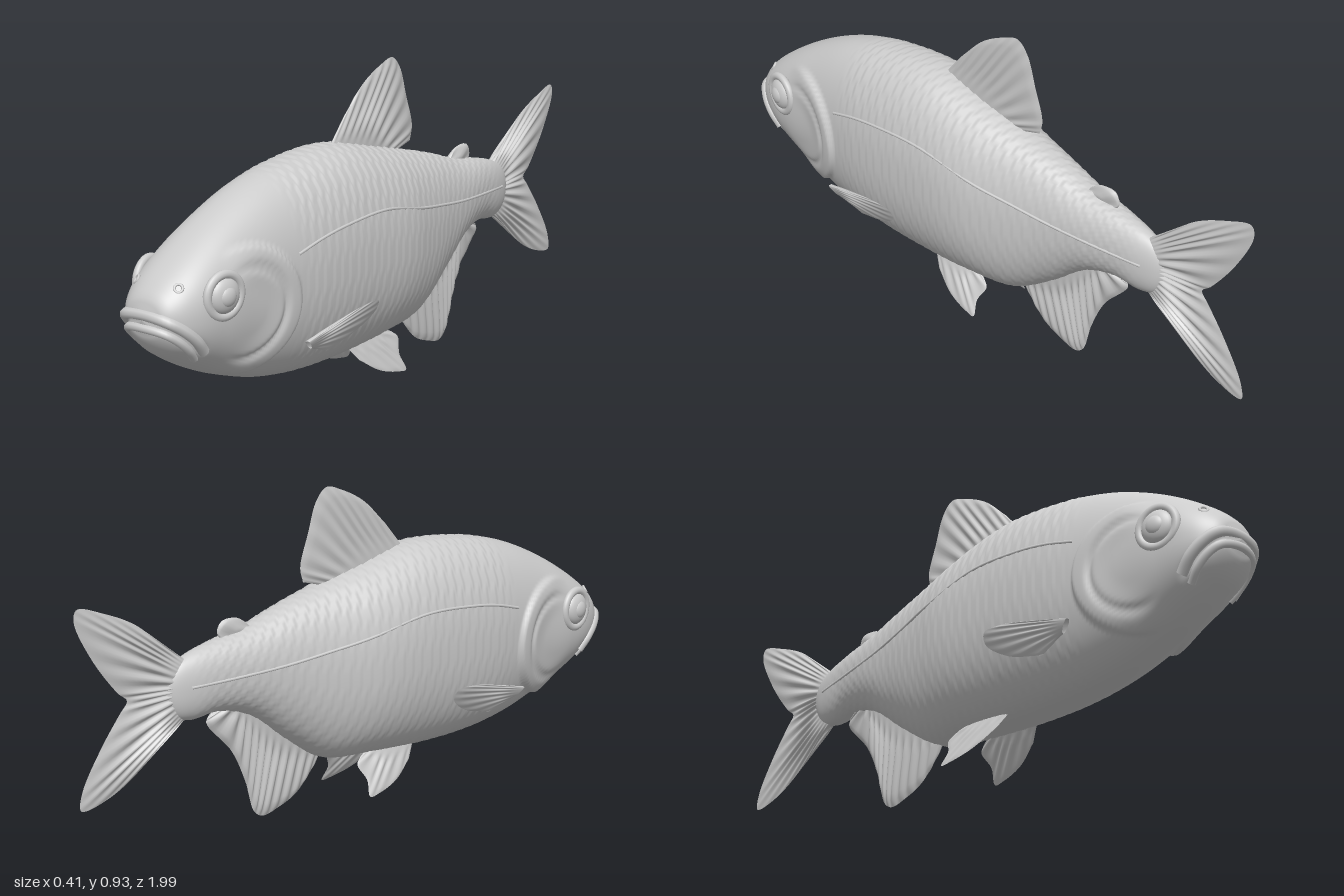
import * as THREE from 'three';

const material = new THREE.MeshStandardMaterial({ color: 0xcccccc, roughness: 0.8 });
const thinMaterial = material.clone();
thinMaterial.side = THREE.DoubleSide;

// Body stations from tail to snout: z, back height, belly height, half width
const stations = [
  [-0.71, 0.47, 0.41, 0.012], [-0.68, 0.505, 0.365, 0.03], [-0.63, 0.53, 0.345, 0.046],
  [-0.53, 0.555, 0.352, 0.064], [-0.42, 0.575, 0.32, 0.084], [-0.29, 0.615, 0.225, 0.108],
  [-0.15, 0.652, 0.14, 0.14], [0, 0.69, 0.122, 0.17], [0.2, 0.733, 0.11, 0.178],
  [0.41, 0.724, 0.114, 0.174], [0.57, 0.692, 0.137, 0.16], [0.68, 0.652, 0.17, 0.15],
  [0.8, 0.592, 0.217, 0.142], [0.9, 0.528, 0.272, 0.122], [0.95, 0.488, 0.31, 0.095],
  [0.975, 0.458, 0.345, 0.068], [0.985, 0.435, 0.368, 0.045],
];
const profile = new THREE.CubicInterpolant(
  stations.map((s) => s[0]), stations.flatMap((s) => s.slice(1)), 3, new Float32Array(3));
const section = (z) => {
  const [top, bottom, w] = profile.evaluate(z);
  return { mid: (top + bottom) / 2, h: (top - bottom) / 2, w };
};
const POWER = 2.2;

// Point on the flank at a given z and y; side is +1 or -1
function onFlank(z, y, side, lift = 0) {
  const { mid, h, w } = section(z);
  const t = Math.min(1, Math.abs((y - mid) / h));
  return new THREE.Vector3(side * (w * (1 - t ** POWER) ** (1 / POWER) + lift), y, z);
}

// Surface from a grid of points; closed joins the last column to the first
function gridGeometry(rows, cols, point, closed = false) {
  const positions = [], index = [];
  const perRow = closed ? cols : cols + 1;
  for (let i = 0; i <= rows; i++)
    for (let j = 0; j < perRow; j++) positions.push(...point(i / rows, j / cols));
  for (let i = 0; i < rows; i++)
    for (let j = 0; j < cols; j++) {
      const k = (j + 1) % perRow;
      const a = i * perRow + j, b = i * perRow + k, c = a + perRow, d = b + perRow;
      index.push(a, b, c, b, d, c);
    }
  const geometry = new THREE.BufferGeometry();
  geometry.setAttribute('position', new THREE.Float32BufferAttribute(positions, 3));
  geometry.setIndex(index);
  geometry.computeVertexNormals();
  return geometry;
}

const smooth = THREE.MathUtils.smoothstep;
const bump = (x, width) => Math.exp(-((x / width) ** 2));

// Raised gill plates, mouth crease and scale rows
function relief(z, y, a) {
  let d = 0;
  const r = Math.hypot((z - 0.72) / 0.19, (y - 0.38) / 0.185);
  const flank = smooth(Math.abs(Math.cos(a)), 0.2, 0.6);
  const behind = 1 - smooth(z, 0.68, 0.8);
  d += 0.014 * flank * behind * (1 - smooth(r, 0.94, 1.02)) * smooth(r, 0.3, 0.9);
  d -= 0.008 * flank * behind * bump(r - 0.68, 0.05);
  d -= 0.01 * smooth(z, 0.85, 0.89) * bump(y - (0.395 - (0.985 - z) * 0.75), 0.014);
  if (r > 1.02 && z < 0.55) {
    const row = Math.round(a * 14 / Math.PI);
    const phase = z / 0.036 + (row % 2) * 0.5;
    const fade = smooth(z, -0.66, -0.5) * (1 - smooth(z, 0.45, 0.55));
    const strength = 0.0018 + 0.0022 * smooth(y, 0.5, 0.62);
    d += strength * fade * (phase - Math.floor(phase) - 0.5);
  }
  return d;
}

function bodyGeometry() {
  const signedPower = (v) => Math.sign(v) * Math.abs(v) ** (2 / POWER);
  return gridGeometry(300, 120, (u, v) => {
    const z = THREE.MathUtils.lerp(-0.71, 0.985, u);
    const a = v * Math.PI * 2;
    const { mid, h, w } = section(z);
    if (u === 0 || u === 1) return [0, mid, z + (u ? 0.004 : -0.004)];
    const x = w * signedPower(Math.cos(a)), y = mid + h * signedPower(Math.sin(a));
    const d = relief(z, y, a);
    return [x + d * Math.cos(a), y + d * Math.sin(a), z];
  }, true);
}

// Ribbed fin spanned from a base line to an outer edge, both as [z, y] points
function fin(name, { base, edge, thickness, rays, x = () => 0, tipThickness = 0.3 }) {
  const curve = (pts) => new THREE.CatmullRomCurve3(pts.map(([z, y]) => new THREE.Vector3(0, y, z)));
  const root = curve(base), rim = curve(edge);
  const group = new THREE.Group();
  group.name = name;
  for (const side of [1, -1]) {
    const geometry = gridGeometry(rays * 6, 14, (u, v) => {
      const p = root.getPoint(u).lerp(rim.getPoint(u), v);
      const rib = 0.8 + 0.3 * Math.cos(u * rays * Math.PI * 2) * smooth(v, 0.1, 0.4);
      const closing = Math.max(0, Math.sin(Math.PI * u)) ** 0.4 * Math.sqrt(1 - v ** 8);
      const t = thickness * (1 - (1 - tipThickness) * v) * rib * closing;
      return [x(p.z, p.y) + side * t, p.y, p.z];
    });
    const mesh = new THREE.Mesh(geometry, thinMaterial);
    mesh.name = name + 'Face';
    group.add(mesh);
  }
  return group;
}

function tube(name, points, radius, segments = 48) {
  const path = new THREE.CatmullRomCurve3(points);
  const mesh = new THREE.Mesh(new THREE.TubeGeometry(path, segments, radius, 8), material);
  mesh.name = name;
  return mesh;
}

// Eyeball, pupil disc and socket ring, facing outwards
function eye(side) {
  const group = new THREE.Group();
  group.name = side > 0 ? 'leftEye' : 'rightEye';
  const add = (name, geometry, z, flat) => {
    const mesh = new THREE.Mesh(geometry, material);
    mesh.name = name;
    mesh.position.z = z;
    mesh.scale.z = flat;
    group.add(mesh);
  };
  add('eyeball', new THREE.SphereGeometry(0.05, 32, 20), 0, 0.5);
  add('pupil', new THREE.SphereGeometry(0.03, 24, 16), 0.012, 0.6);
  add('socketRing', new THREE.TorusGeometry(0.058, 0.013, 12, 40), 0, 0.9);
  group.position.copy(onFlank(0.815, 0.452, side, -0.003));
  group.rotation.y = side * (Math.PI / 2 - 0.15);
  return group;
}

export function createModel() {
  const fish = new THREE.Group();
  fish.name = 'fish';
  const body = new THREE.Mesh(bodyGeometry(), material);
  body.name = 'body';
  fish.add(body);

  // Fins on the centre line
  fish.add(fin('dorsalFin', {
    base: [[0.2, 0.71], [0.06, 0.68], [-0.09, 0.64]],
    edge: [[0.12, 0.8], [0.035, 0.877], [-0.05, 0.92], [-0.11, 0.935], [-0.148, 0.9],
      [-0.18, 0.81], [-0.21, 0.715], [-0.2, 0.67]],
    thickness: 0.017, rays: 10, tipThickness: 0.5,
  }));
  fish.add(fin('adiposeFin', {
    base: [[-0.39, 0.565], [-0.49, 0.545]],
    edge: [[-0.41, 0.585], [-0.445, 0.606], [-0.5, 0.605], [-0.517, 0.575], [-0.5, 0.55]],
    thickness: 0.016, rays: 2, tipThickness: 0.6,
  }));
  fish.add(fin('tailFin', {
    base: [[-0.62, 0.515], [-0.64, 0.44], [-0.62, 0.36]],
    edge: [[-0.68, 0.545], [-0.79, 0.64], [-0.9, 0.692], [-0.985, 0.715], [-0.995, 0.685],
      [-0.94, 0.57], [-0.86, 0.465], [-0.83, 0.437], [-0.855, 0.405], [-0.92, 0.32],
      [-0.985, 0.21], [-0.99, 0.16], [-0.9, 0.175], [-0.79, 0.235], [-0.68, 0.335]],
    thickness: 0.032, rays: 18, tipThickness: 0.12,
  }));
  fish.add(fin('analFin', {
    base: [[-0.13, 0.165], [-0.29, 0.25], [-0.42, 0.34], [-0.5, 0.375]],
    edge: [[-0.16, 0.115], [-0.23, 0.045], [-0.3, 0.015], [-0.36, 0.003], [-0.392, 0.025],
      [-0.42, 0.115], [-0.47, 0.22], [-0.56, 0.325], [-0.54, 0.347]],
    thickness: 0.03, rays: 14, tipThickness: 0.4,
  }));

  for (const side of [1, -1]) {
    const prefix = side > 0 ? 'left' : 'right';
    // Paired fins lean outwards from the body
    fish.add(fin(prefix + 'PectoralFin', {
      base: [[0.53, 0.262], [0.5, 0.232]],
      edge: [[0.41, 0.292], [0.3, 0.313], [0.23, 0.31], [0.225, 0.28], [0.29, 0.232], [0.41, 0.2]],
      thickness: 0.011, rays: 7, x: (z, y) => side * (0.166 + (y - 0.22) * 0.42),
    }));
    fish.add(fin(prefix + 'PelvicFin', {
      base: [[0.19, 0.135], [0.08, 0.135], [0, 0.14]],
      edge: [[0.15, 0.085], [0.08, 0.04], [0, 0.017], [-0.037, 0.015], [-0.03, 0.06], [-0.05, 0.105], [-0.03, 0.125]],
      thickness: 0.014, rays: 6, x: (z, y) => side * (0.06 + (0.12 - y) * 0.46),
    }));
    fish.add(eye(side));

    // Nostril rim
    const nostril = new THREE.Mesh(new THREE.TorusGeometry(0.011, 0.004, 8, 20), material);
    nostril.name = prefix + 'Nostril';
    nostril.position.copy(onFlank(0.925, 0.487, side));
    nostril.rotation.set(-0.5, side * 0.7, 0, 'YXZ');
    fish.add(nostril);

    // Lateral line
    const line = [[0.53, 0.505], [0.43, 0.53], [0.32, 0.545], [0.14, 0.55], [-0.07, 0.51],
      [-0.2, 0.488], [-0.34, 0.468], [-0.5, 0.455], [-0.64, 0.447]];
    fish.add(tube(prefix + 'LateralLine', line.map(([z, y]) => onFlank(z, y, side, -0.0005)), 0.0045, 90));
  }

  // Lips arch across the snout from one mouth corner to the other
  const lip = (name, flank, front, radius) => fish.add(tube(name, [
    ...flank.map(([z, y]) => onFlank(z, y, 1, -0.004)), front,
    ...flank.slice().reverse().map(([z, y]) => onFlank(z, y, -1, -0.004)),
  ], radius));
  lip('upperLip', [[0.865, 0.305], [0.9, 0.345], [0.94, 0.382], [0.97, 0.405]],
    new THREE.Vector3(0, 0.415, 0.979), 0.016);
  lip('lowerLip', [[0.875, 0.283], [0.91, 0.318], [0.945, 0.35], [0.97, 0.37]],
    new THREE.Vector3(0, 0.38, 0.985), 0.012);
  return fish;
}
